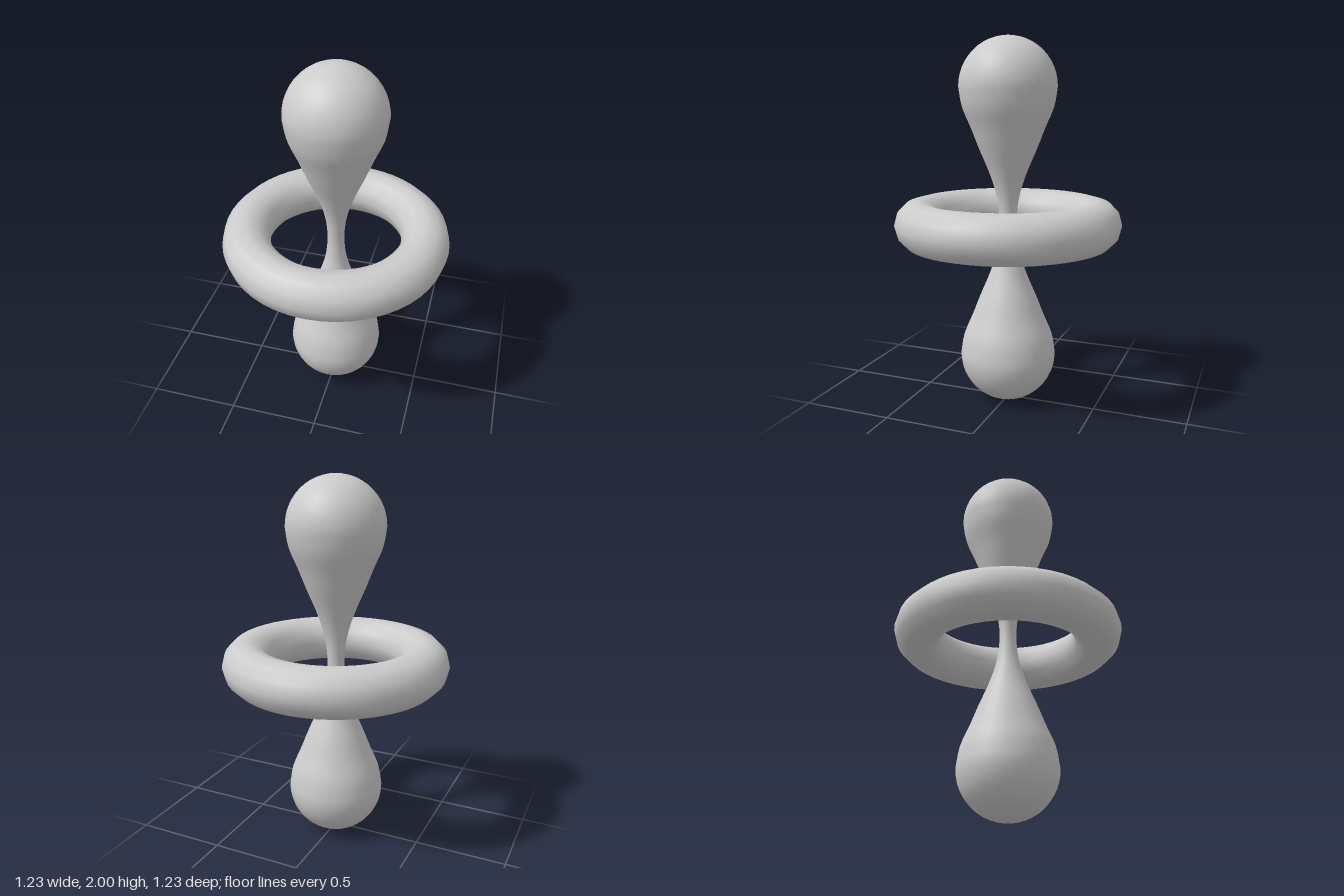
import * as THREE from 'three';

const MID = 1.0; // height of the symmetry plane

// Half profile of a lobe, from the outer pole to the waist: [radius, distance from the middle]
function lobeProfile() {
  const R = 0.264, centre = 1 - R;
  const cap = [];
  for (let i = 0; i < 12; i++) {
    const a = (i / 12) * Math.PI / 2;
    cap.push(new THREE.Vector2(R * Math.sin(a), centre + R * Math.cos(a)));
  }
  const taper = new THREE.SplineCurve([
    [R, centre], [0.246, 0.63], [0.2, 0.52], [0.157, 0.41], [0.108, 0.295],
    [0.075, 0.2], [0.057, 0.125], [0.048, 0.05], [0.046, 0],
  ].map(([r, d]) => new THREE.Vector2(r, d)));
  return cap.concat(taper.getPoints(24));
}

export function createModel() {
  const group = new THREE.Group();
  const material = new THREE.MeshStandardMaterial({ color: 0xcccccc });

  // Two teardrop lobes joined at a narrow waist, turned as one body
  const half = lobeProfile();
  const lower = half.map(p => new THREE.Vector2(p.x, MID - p.y));
  const upper = half.slice(0, -1).reverse().map(p => new THREE.Vector2(p.x, MID + p.y));
  const lobes = new THREE.Mesh(new THREE.LatheGeometry([...lower, ...upper], 32), material);
  lobes.name = 'doubleLobe';
  group.add(lobes);

  // Free ring around the waist
  const ring = new THREE.Mesh(new THREE.TorusGeometry(0.486, 0.131, 12, 48), material);
  ring.name = 'ring';
  ring.rotation.x = Math.PI / 2;
  ring.position.y = MID + 0.004;
  group.add(ring);

  return group;
}
